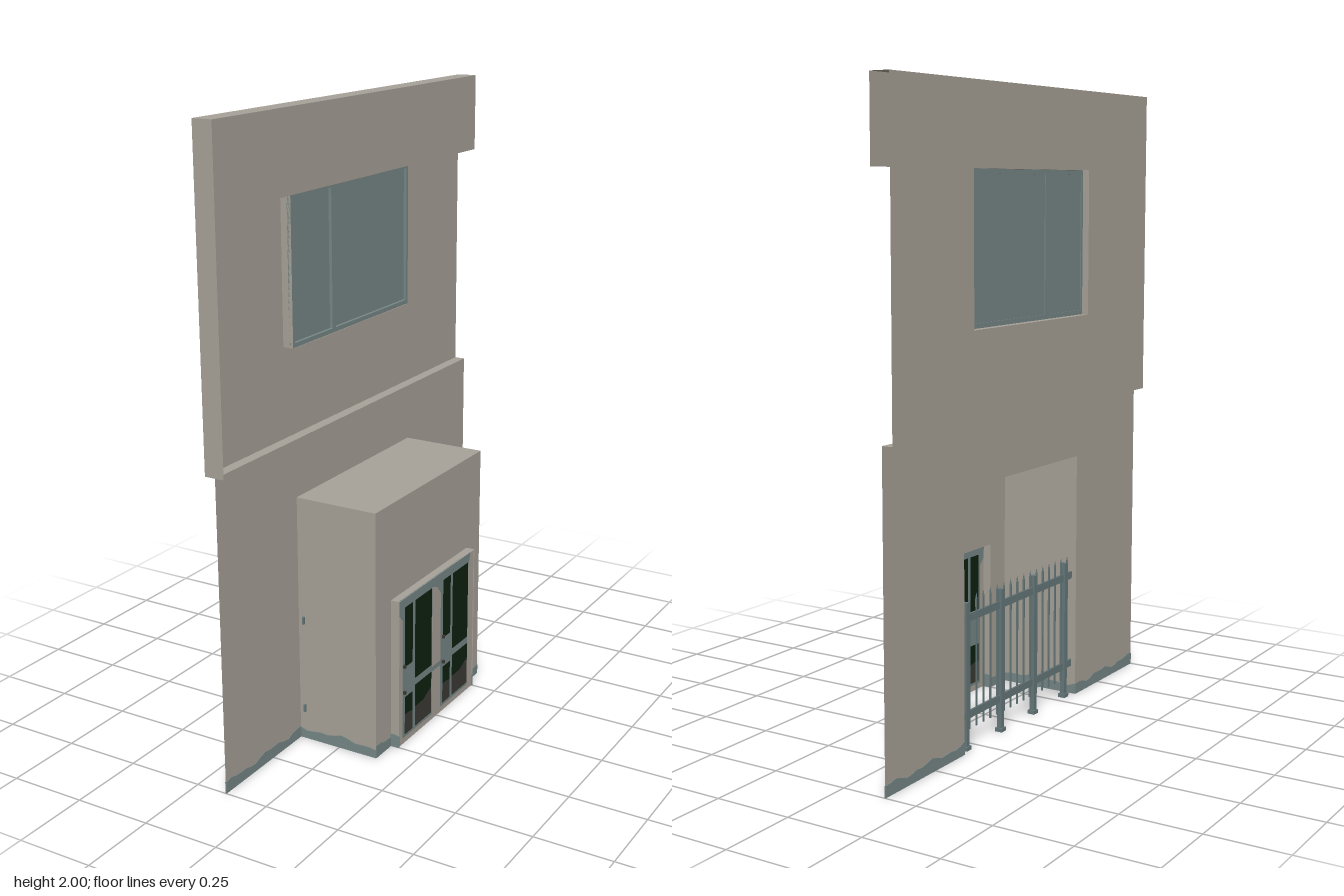
import * as THREE from 'three';

const material = (name, color) => {
  const m = new THREE.MeshStandardMaterial({ color, side: THREE.DoubleSide });
  m.name = name;
  return m;
};

export function createModel() {
  const model = new THREE.Group();
  model.name = 'buildingFacade';
  const plaster = material('plaster', 0xa8a298);
  const teal = material('weatheredTeal', 0x768886);
  const metal = material('fenceMetal', 0x66787a);
  const paneDark = material('darkPane', 0x0c2110);
  const paneBrown = material('brownPane', 0x3b3a34);

  const add = (name, geometry, mat, parent = model) => {
    const mesh = new THREE.Mesh(geometry, mat);
    mesh.name = name;
    parent.add(mesh);
    return mesh;
  };
  const group = (name) => {
    const g = new THREE.Group();
    g.name = name;
    model.add(g);
    return g;
  };
  const box = (name, mat, x0, x1, y0, y1, z0, z1, parent) =>
    add(name, new THREE.BoxGeometry(x1 - x0, y1 - y0, z1 - z0)
      .translate((x0 + x1) / 2, (y0 + y1) / 2, (z0 + z1) / 2), mat, parent);

  // Outlines are given as [z, y] pairs on a plane facing +x
  const vectors = (pts) => pts.map(([z, y]) => new THREE.Vector2(-z, y));
  const rect = (z0, z1, y0, y1) => [[z1, y0], [z0, y0], [z0, y1], [z1, y1]];
  const sheet = (name, mat, x, pts, hole, parent) => {
    const shape = new THREE.Shape(vectors(pts));
    if (hole) shape.holes.push(new THREE.Path(vectors(hole)));
    return add(name, new THREE.ShapeGeometry(shape).rotateY(Math.PI / 2).translate(x, 0, 0), mat, parent);
  };
  const plate = (name, mat, x, thick, pts, parent) =>
    add(name, new THREE.ExtrudeGeometry(new THREE.Shape(vectors(pts)), { depth: thick, bevelEnabled: false })
      .rotateY(Math.PI / 2).translate(x - thick / 2, 0, 0), mat, parent);
  // Sheet facing up
  const level = (name, y, x0, x1, z0, z1, parent) =>
    add(name, new THREE.PlaneGeometry(x1 - x0, z1 - z0).rotateX(-Math.PI / 2)
      .translate((x0 + x1) / 2, y, (z0 + z1) / 2), plaster, parent);
  // Sheet facing along z, outwards from the centre
  const side = (name, z, x0, x1, y0, y1, parent) =>
    add(name, new THREE.PlaneGeometry(x1 - x0, y1 - y0).rotateY(z > 0 ? 0 : Math.PI)
      .translate((x0 + x1) / 2, (y0 + y1) / 2, z), plaster, parent);

  const BACK = -0.18, PARAPET = -0.115, WALL = -0.145, PORCH = 0.135, DOOR = 0.165;

  // Upper storey: wall, parapet and one return fin
  const upper = group('upperStorey');
  sheet('upperWall', plaster, BACK, rect(-0.75, 0.75, 1, 2), rect(-0.34, 0.345, 1.285, 1.75), upper);
  sheet('parapetFace', plaster, PARAPET, rect(-0.75, 0.75, 1.75, 2), null, upper);
  level('parapetTop', 2, BACK, PARAPET, -0.75, 0.75, upper);
  side('returnFin', 0.75, BACK, PARAPET, 1, 2, upper);

  // Projecting window
  const win = group('window');
  side('windowJamb', 0.345, BACK, WALL, 1.285, 1.75, win);
  side('windowJamb', -0.34, BACK, WALL, 1.285, 1.75, win);
  level('windowSill', 1.285, BACK, WALL, -0.34, 0.345, win);
  level('windowHead', 1.749, BACK, WALL, -0.34, 0.345, win);
  sheet('windowGlass', teal, -0.155, rect(-0.34, 0.345, 1.285, 1.75), null, win);
  for (const [z0, z1] of [[0.335, 0.345], [0.105, 0.125], [-0.34, -0.33]])
    box('windowStile', teal, -0.158, WALL, 1.286, 1.748, z0, z1, win);
  for (const [y0, y1] of [[1.286, 1.3], [1.735, 1.748]])
    box('windowRail', teal, -0.158, WALL, y0, y1, -0.34, 0.345, win);

  // Lower wall with the porch opening, and the ledge above it
  const lower = group('lowerStorey');
  sheet('lowerWall', plaster, WALL, [[0.75, 0], [0.342, 0], [0.342, 0.815], [-0.342, 0.815],
    [-0.342, 0], [-0.75, 0], [-0.75, 1], [0.75, 1]], null, lower);
  level('ledge', 1, BACK, WALL, -0.75, 0.75, lower);

  // Porch shell, open at the back and below
  const porch = group('porch');
  sheet('porchFront', plaster, PORCH, [[0.342, 0], [0.25, 0], [0.25, 0.5], [-0.25, 0.5],
    [-0.25, 0], [-0.342, 0], [-0.342, 0.815], [0.342, 0.815]], null, porch);
  level('porchRoof', 0.815, WALL, PORCH, -0.342, 0.342, porch);
  level('doorHead', 0.5, PORCH, DOOR, -0.25, 0.25, porch);
  for (const s of [-1, 1]) {
    side('porchSide', s * 0.342, WALL, PORCH, 0, 0.815, porch);
    side('doorJamb', s * 0.25, PORCH, DOOR, 0, 0.5, porch);
  }

  // Double door with worn paint and glazed panels
  const doors = group('doors');
  sheet('doorPanel', plaster, 0.162, rect(-0.25, 0.25, 0, 0.5), null, doors);
  plate('doorPaint', teal, 0.162, 0.003, [[0.225, 0.02], [0.035, 0.02], [0.035, 0.17], [-0.02, 0.17],
    [-0.02, 0.02], [-0.21, 0.02], [-0.21, 0.45], [-0.225, 0.5], [0.25, 0.5], [0.245, 0.45],
    [0.225, 0.43]], doors);
  plate('doorGap', plaster, 0.162, 0.004, [[0.036, 0.19], [-0.02, 0.19], [-0.02, 0.43], [0.005, 0.46], [0.036, 0.47]], doors);
  plate('doorGap', plaster, 0.162, 0.004, rect(-0.02, 0.036, 0.02, 0.172), doors);
  for (const [z0, z1, high, low] of [[0.165, 0.212, 0.265, 0.16], [0.042, 0.147, 0.2, 0.175],
    [-0.085, -0.037, 0.265, 0.16], [-0.207, -0.102, 0.2, 0.175]]) {
    plate('upperPane', paneDark, 0.162, 0.006, rect(z0, z1, high, 0.468), doors);
    const c = z1 - z0 > 0.07 ? 0.125 : 0.095;
    plate('lowerPane', paneDark, 0.162, 0.006, [[z1, 0.1], [(z0 + z1) / 2, 0.1], [z0, c], [z0, low], [z1, low]], doors);
    plate('paneBase', paneBrown, 0.162, 0.006, [[z1, 0.03], [z0, 0.03], [z0, c], [(z0 + z1) / 2, 0.1], [z1, 0.1]], doors);
  }
  for (const z of [0.22, -0.035])
    for (const y of [0.18, 0.27])
      box('doorHandle', paneBrown, 0.162, 0.171, y - 0.005, y + 0.005, z - 0.004, z + 0.004, doors);

  // Wavy weathered strip along the foot of each wall, seen from both sides
  const foot = group('wallFoot');
  const strip = (length, phase) => {
    const steps = Math.max(2, Math.round(length / 0.025));
    const pts = [new THREE.Vector2(length, 0), new THREE.Vector2(0, 0)];
    pts.reverse();
    for (let i = steps; i >= 0; i--) {
      const u = (length * i) / steps;
      pts.push(new THREE.Vector2(u, 0.034 + 0.006 * Math.sin(u * 32 + phase) + 0.004 * Math.sin(u * 71 + phase)));
    }
    return new THREE.ExtrudeGeometry(new THREE.Shape(pts), { depth: 0.004, bevelEnabled: false }).translate(0, 0, -0.002);
  };
  const alongZ = (x, zStart, length, phase) =>
    add('footStrip', strip(length, phase).rotateY(Math.PI / 2).translate(x, 0, zStart), teal, foot);
  const alongX = (z, xStart, length, phase) =>
    add('footStrip', strip(length, phase).translate(xStart, 0, z), teal, foot);
  alongZ(WALL, 0.75, 0.408, 0.5);
  alongZ(WALL, -0.342, 0.408, 2);
  alongZ(PORCH, 0.342, 0.092, 1);
  alongZ(PORCH, -0.25, 0.092, 3);
  for (const s of [-1, 1]) {
    alongX(s * 0.342, WALL, 0.28, 2 + s);
    alongX(s * 0.25, PORCH, 0.03, 1);
  }

  // Railing across the back of the porch
  const fence = group('fence');
  for (const y of [0.107, 0.41])
    box('fenceRail', metal, -0.129, -0.122, y - 0.012, y + 0.012, -0.35, 0.35, fence);
  for (const z of [-0.305, -0.105, 0.095, 0.295]) {
    box('fencePost', metal, -0.134, -0.117, 0, 0.46, z - 0.008, z + 0.008, fence);
    box('postFoot', metal, -0.138, -0.113, 0, 0.012, z - 0.013, z + 0.013, fence);
  }
  for (let i = 0; i < 17; i++) {
    const z = -0.325 + i * 0.04;
    box('fenceBar', metal, -0.128, -0.123, 0.06, 0.46, z - 0.0025, z + 0.0025, fence);
    add('barPoint', new THREE.ConeGeometry(0.004, 0.02, 4).translate(-0.1255, 0.47, z), metal, fence);
  }
  return model;
}
